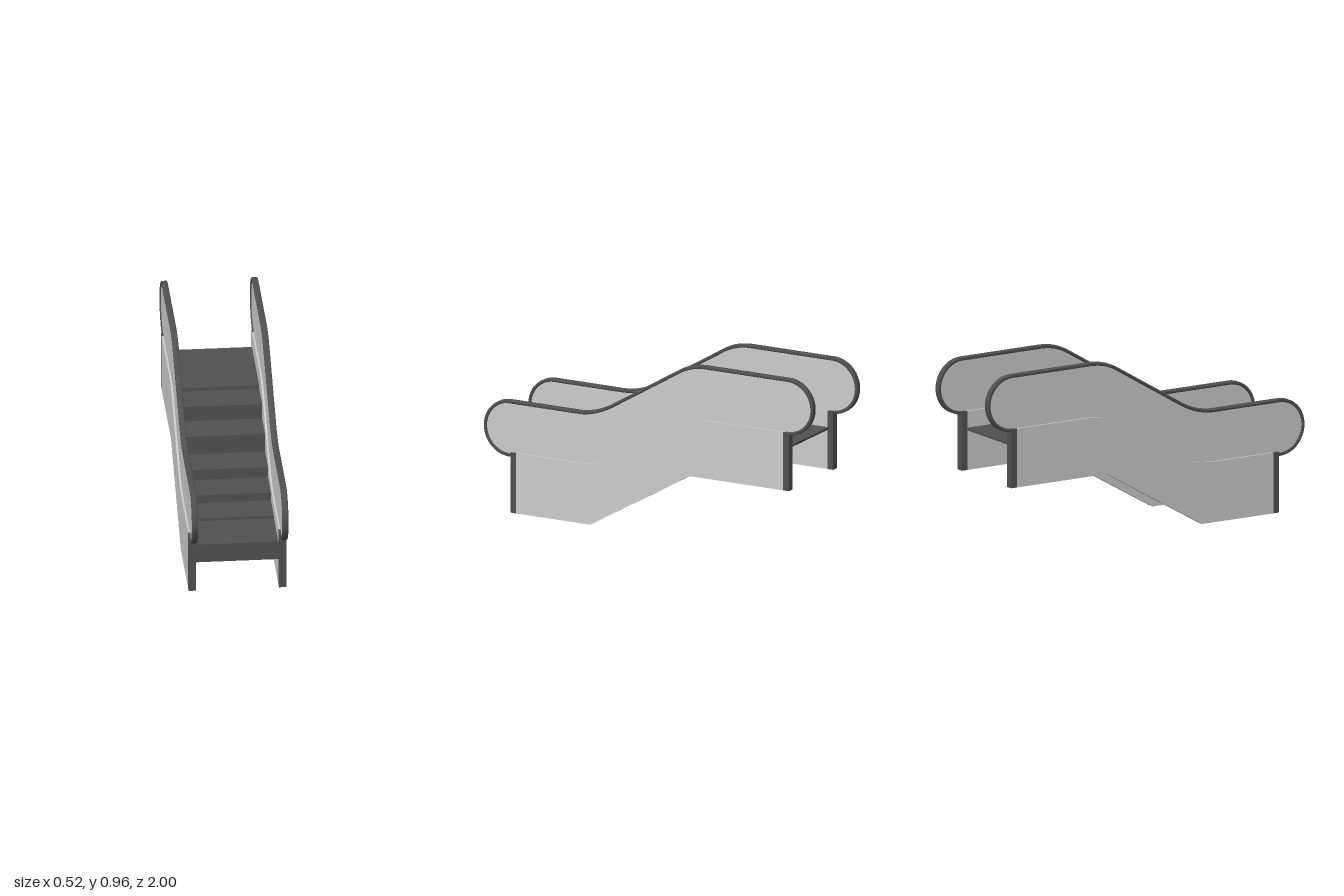
import * as THREE from 'three';
import { toCreasedNormals } from 'three/addons/utils/BufferGeometryUtils.js';

const grey = new THREE.MeshStandardMaterial({ color: 0xcccccc });
const dark = new THREE.MeshStandardMaterial({ color: 0x505050 });
const SIDE_X = 0.24; // centre of each side wall

function addMesh(parent, name, geometry, material) {
  const mesh = new THREE.Mesh(geometry, material);
  mesh.name = name;
  parent.add(mesh);
  return mesh;
}

// Extrude a (z, y) outline across x, centred on x = 0
function slab(shape, width, bevel = 0) {
  const depth = width - 2 * bevel;
  const g = new THREE.ExtrudeGeometry(shape, {
    depth, curveSegments: 16, bevelEnabled: bevel > 0, bevelSize: bevel,
    bevelThickness: bevel, bevelOffset: -bevel, bevelSegments: 3,
  });
  g.translate(0, 0, -depth / 2);
  g.rotateY(-Math.PI / 2);
  return toCreasedNormals(g, 0.6);
}

function box(x, y0, y1, z0, z1) {
  return new THREE.BoxGeometry(x, y1 - y0, z1 - z0).translate(0, (y0 + y1) / 2, (z0 + z1) / 2);
}

// Outer line of the handrail: round the front end, up the slope, round the back end
function railLine() {
  const p = new THREE.Path();
  p.moveTo(0.82, 0.305);
  p.lineTo(0.845, 0.305);
  p.absarc(0.845, 0.46, 0.155, -Math.PI / 2, Math.PI / 2, false);
  p.lineTo(0.43, 0.615);
  p.quadraticCurveTo(0.328, 0.615, 0.22, 0.68);
  p.lineTo(-0.18, 0.92);
  p.quadraticCurveTo(-0.255, 0.965, -0.35, 0.965);
  p.lineTo(-0.845, 0.965);
  p.absarc(-0.845, 0.81, 0.155, Math.PI / 2, Math.PI * 1.5, false);
  p.lineTo(-0.835, 0.655);
  return p.getSpacedPoints(180);
}

// Shift a line inwards along its normals
function inset(points, d) {
  return points.map((p, i) => {
    const a = points[Math.max(i - 1, 0)], b = points[Math.min(i + 1, points.length - 1)];
    const t = b.clone().sub(a).normalize();
    return new THREE.Vector2(p.x - t.y * d, p.y + t.x * d);
  });
}

function skirtShape() {
  const s = new THREE.Shape();
  s.moveTo(0.80, 0);
  s.lineTo(0.80, 0.33);
  s.lineTo(0.44, 0.33);
  s.quadraticCurveTo(0.287, 0.33, 0.17, 0.40);
  s.lineTo(-0.15, 0.60);
  s.quadraticCurveTo(-0.265, 0.67, -0.36, 0.67);
  s.lineTo(-0.82, 0.67);
  s.lineTo(-0.82, 0.35);
  s.lineTo(-0.25, 0.35);
  s.lineTo(0.35, 0);
  return s;
}

function buildSide(name, x) {
  const side = new THREE.Group();
  side.name = name;
  side.position.x = x;

  const line = railLine();
  const railShape = new THREE.Shape([...line, ...inset(line, 0.018).reverse()]);
  addMesh(side, 'handrail', slab(railShape, 0.033, 0.005), dark);

  // Panel fills the handrail loop; its lower edge is hidden in the skirt
  const lower = [[-0.82, 0.6], [-0.25, 0.55], [0.35, 0.25], [0.82, 0.25]]
    .map(([z, y]) => new THREE.Vector2(z, y));
  const panelShape = new THREE.Shape([...inset(line, 0.012), ...lower]);
  addMesh(side, 'balustradePanel', slab(panelShape, 0.02), grey);

  addMesh(side, 'skirt', slab(skirtShape(), 0.04), grey);
  addMesh(side, 'frontEndCap', box(0.04, 0, 0.33, 0.80, 0.835), dark);
  addMesh(side, 'backEndCap', box(0.04, 0.35, 0.67, -0.855, -0.82), dark);
  return side;
}

// Each step is a thin tread with a riser hanging from its front edge
function buildSteps() {
  const steps = new THREE.Group();
  steps.name = 'steps';
  const edges = [0.79, 0.52, 0.34, 0.16, -0.02, -0.20, -0.38, -0.82];
  const heights = [0.25, 0.265, 0.31, 0.37, 0.475, 0.56, 0.58];
  const t = 0.012, width = 0.445;
  heights.forEach((y, i) => {
    const step = new THREE.Group();
    step.name = `step${i + 1}`;
    addMesh(step, 'tread', box(width, y - t, y, edges[i + 1] - t / 2, edges[i]), dark);
    addMesh(step, 'riser', box(width, y - 0.105, y - t, edges[i] - t, edges[i]), dark);
    steps.add(step);
  });
  return steps;
}

export function createModel() {
  const model = new THREE.Group();
  model.name = 'escalator';
  model.add(buildSide('leftSide', SIDE_X), buildSide('rightSide', -SIDE_X), buildSteps());
  return model;
}
